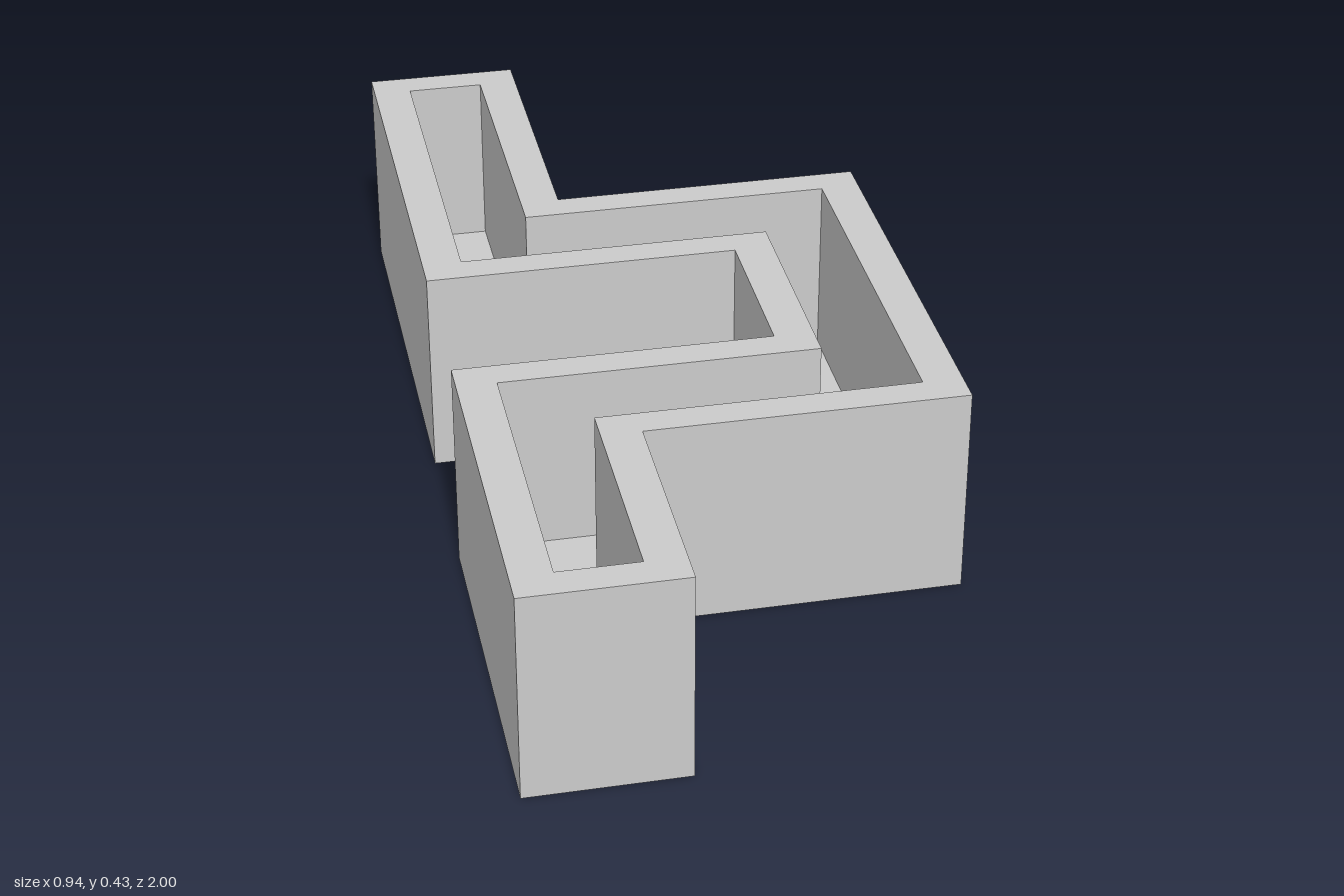
import * as THREE from 'three';

const HEIGHT = 0.43;
const FLOOR = 0.06;

// Centreline of the channel: [x, z, side of z taken by the +x edge]
const SPINE = [
  [-0.312, -0.859, -1], [-0.312, -0.234, -1], [0.312, -0.234, -1],
  [0.312, 0.391, 1], [-0.312, 0.391, 1], [-0.312, 0.859, 1],
];

// Counter-clockwise outline hx and hz either side of the centreline, with squared ends
function outline(hx, hz) {
  const last = SPINE.length - 1;
  const near = SPINE.map(([x, z, s]) => new THREE.Vector2(x + hx, -(z + s * hz)));
  const far = SPINE.map(([x, z, s], i) => {
    const t = i === 0 || i === last ? s : -s;
    return new THREE.Vector2(x - hx, -(z + t * hz));
  });
  return [...far, ...near.reverse()];
}

function extrudeUp(name, shape, height, material) {
  const geometry = new THREE.ExtrudeGeometry(shape, { depth: height, bevelEnabled: false });
  geometry.rotateX(-Math.PI / 2);
  const mesh = new THREE.Mesh(geometry, material);
  mesh.name = name;
  return mesh;
}

export function createModel() {
  const group = new THREE.Group();
  group.name = 'channelTray';
  const material = new THREE.MeshStandardMaterial({ color: 0xcccccc });

  const outer = outline(0.156, 0.141);
  const inner = outline(0.078, 0.078);

  // Continuous wall around the open channel
  const wallShape = new THREE.Shape(outer);
  wallShape.holes.push(new THREE.Path(inner));
  group.add(extrudeUp('wall', wallShape, HEIGHT, material));

  // Floor plate filling the channel's bottom
  group.add(extrudeUp('floor', new THREE.Shape(inner), FLOOR, material));

  return group;
}
